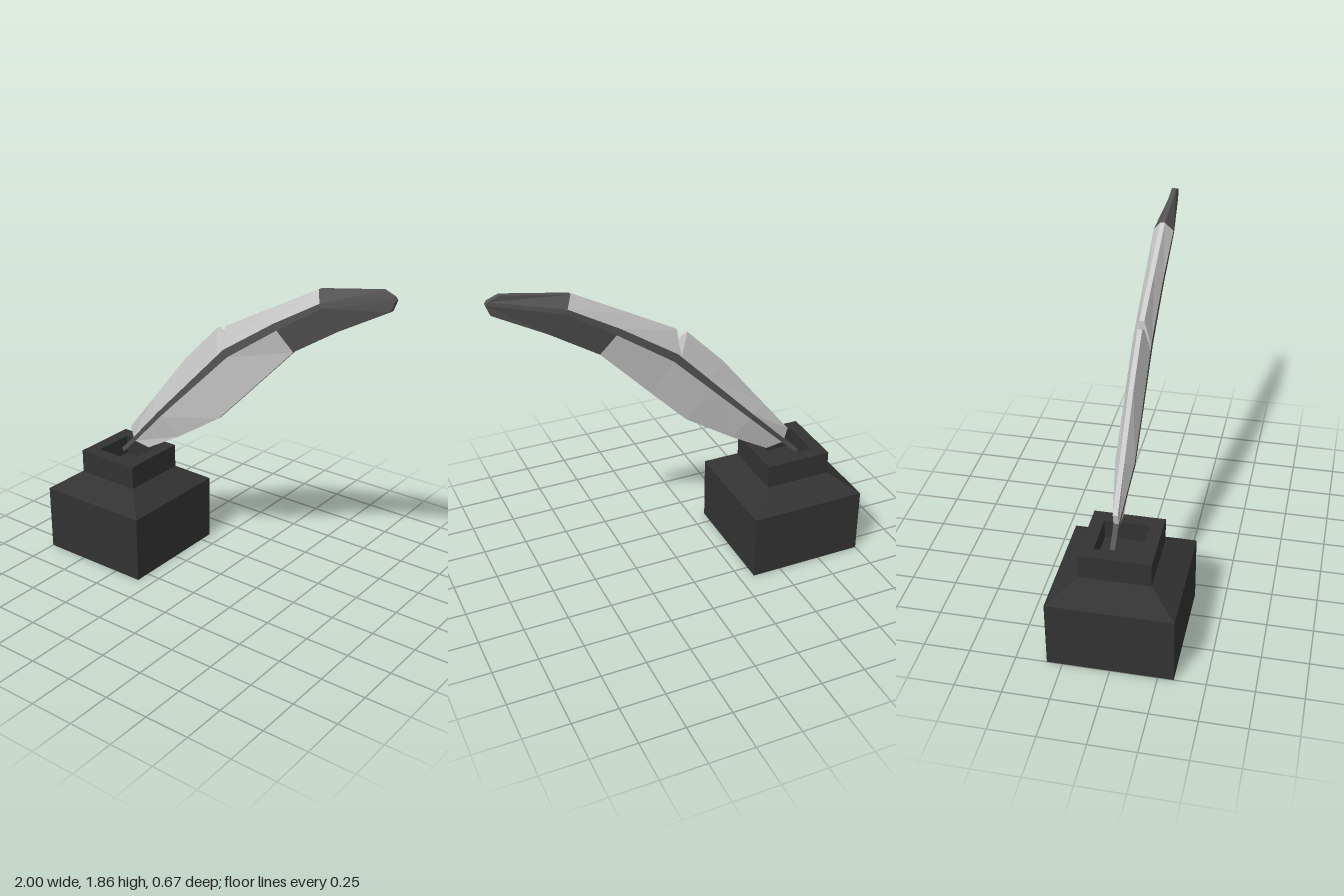
import * as THREE from 'three';

const material = (color) => new THREE.MeshStandardMaterial({ color, flatShading: true });

// Quill spine stations: x, y, half thickness in z, half width of the shaft
const SPINE = [
  [-0.735, 0.57, 0.013, 0.012], [-0.64, 0.665, 0.014, 0.012], [-0.42, 0.89, 0.051, 0.014],
  [0.04, 1.355, 0.051, 0.022], [0.35, 1.565, 0.051, 0.019], [0.62, 1.73, 0.055, 0.013],
  [0.995, 1.825, 0.014, 0.01],
];

// Point on the shaft's upper (side 1) or lower (side -1) border at spine position x
function shaftBorder(x, side) {
  let i = 0;
  while (i < SPINE.length - 2 && x > SPINE[i + 1][0]) i++;
  const a = SPINE[i], b = SPINE[i + 1];
  const t = (x - a[0]) / (b[0] - a[0]);
  const [px, py, h, w] = a.map((v, k) => THREE.MathUtils.lerp(v, b[k], t));
  // offset along a fixed diagonal so that neighbouring strips share their borders
  return [px - side * w * 0.6, py + side * w * 0.8, h];
}

// Solid strip between two rows of [x, y, half thickness] points
function strip(name, inner, outer, mat, flip = false) {
  const rings = inner.map(([x, y, h], i) => {
    const [ox, oy, oh] = outer[i];
    return [[x, y, h], [ox, oy, oh], [ox, oy, -oh], [x, y, -h]];
  });
  const pos = [];
  const quad = (a, b, c, d) => {
    const q = flip ? [a, d, c, b] : [a, b, c, d];
    for (const k of [0, 1, 2, 0, 2, 3]) pos.push(...q[k]);
  };
  for (let i = 0; i < rings.length - 1; i++) {
    for (let j = 0; j < 4; j++) {
      const n = (j + 1) % 4;
      quad(rings[i][j], rings[i + 1][j], rings[i + 1][n], rings[i][n]);
    }
  }
  const end = rings[rings.length - 1];
  quad(...rings[0]);
  quad(end[3], end[2], end[1], end[0]);
  const geo = new THREE.BufferGeometry();
  geo.setAttribute('position', new THREE.Float32BufferAttribute(pos, 3));
  geo.computeVertexNormals();
  const mesh = new THREE.Mesh(geo, mat);
  mesh.name = name;
  return mesh;
}

// Vane grown from the shaft; rows are [spine x, edge x, edge y]
function vane(name, side, rows, mat) {
  return strip(name,
    rows.map(([s]) => shaftBorder(s, side)),
    rows.map(([, x, y]) => [x, y, 0.013]),
    mat, side < 0);
}

export function createModel() {
  const model = new THREE.Group();
  const glass = material(0x333333);
  const dark = material(0x555555);
  const pale = material(0xcccccc);

  // Square inkwell with sloping shoulders and an open neck
  const profile = [
    [0, 0], [0.333, 0], [0.333, 0.38], [0.19, 0.475], [0.19, 0.61],
    [0.12, 0.61], [0.12, 0.5], [0, 0.5],
  ].map(([r, y]) => new THREE.Vector2(r * Math.SQRT2, y));
  const inkwell = new THREE.Mesh(new THREE.LatheGeometry(profile, 4, Math.PI / 4), glass);
  inkwell.name = 'inkwell';
  inkwell.position.x = -0.667;
  model.add(inkwell);

  // Quill: shaft, pale vanes and dark tip
  const quill = new THREE.Group();
  quill.name = 'quill';
  quill.position.z = -0.035;
  quill.add(
    strip('shaft', SPINE.map((p) => shaftBorder(p[0], -1)), SPINE.map((p) => shaftBorder(p[0], 1)), dark),
    // the upper vane has a small notch half way
    vane('upperVane', 1, [
      [-0.64, -0.665, 0.74], [-0.42, -0.5, 0.945], [-0.13, -0.26, 1.245], [0, -0.04, 1.47],
      [0.02, 0.013, 1.44], [0.04, 0.014, 1.49], [0.35, 0.28, 1.635], [0.62, 0.58, 1.797],
    ], pale),
    vane('lowerVane', -1, [
      [-0.64, -0.535, 0.64], [-0.42, -0.31, 0.77], [-0.2, -0.035, 0.95],
      [0.04, 0.16, 1.15], [0.35, 0.44, 1.44],
    ], pale),
    vane('upperTip', 1, [[0.62, 0.58, 1.797], [0.995, 0.93, 1.857]], dark),
    vane('lowerTip', -1, [[0.35, 0.44, 1.44], [0.62, 0.7, 1.605], [0.995, 0.98, 1.76]], dark),
  );
  model.add(quill);
  return model;
}
